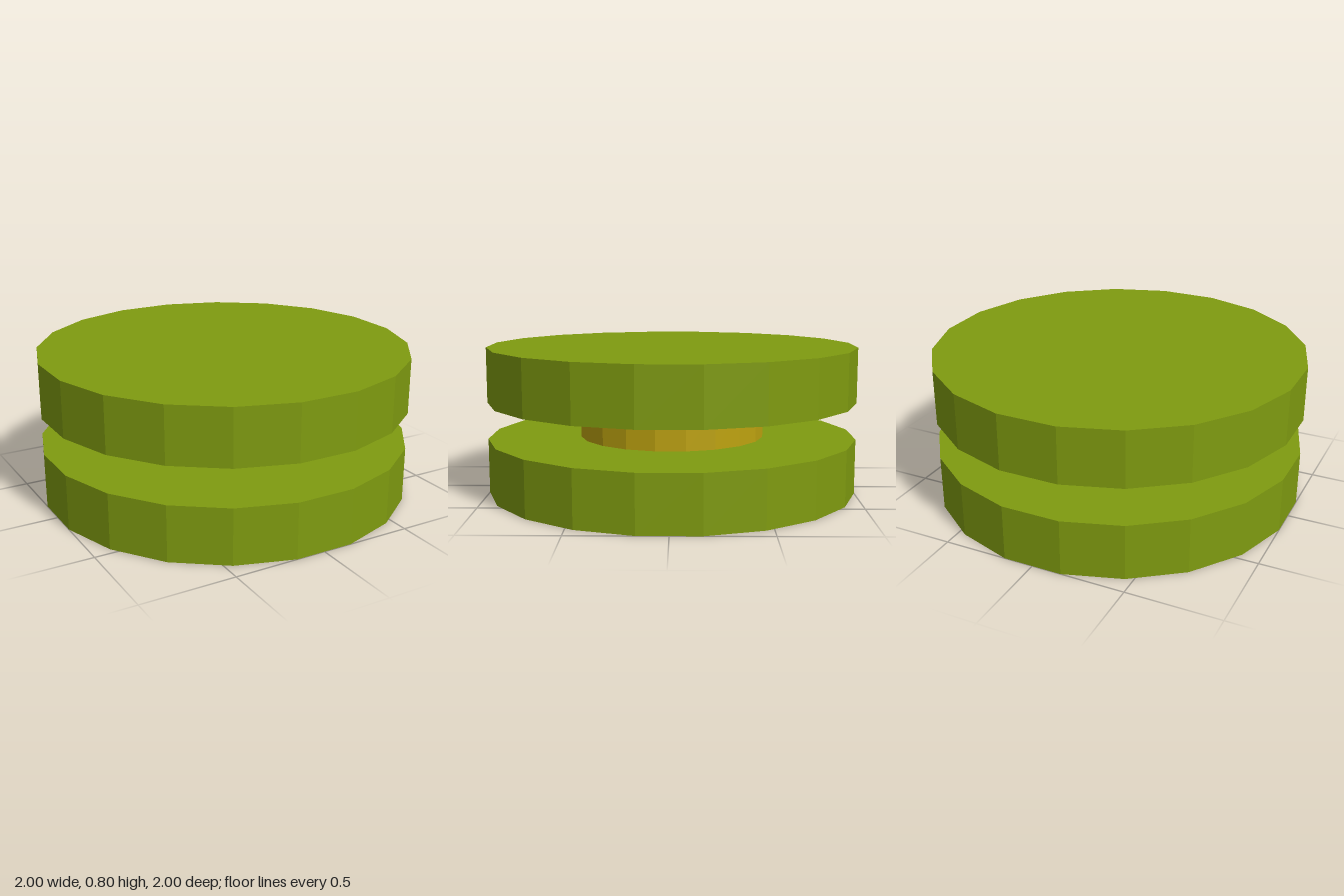
import * as THREE from 'three';

const SIDES = 20;

export function createModel() {
  const model = new THREE.Group();
  model.name = 'spool';

  const green = new THREE.MeshStandardMaterial({ color: 0x7f9b10 });
  green.name = 'olive green';
  const gold = new THREE.MeshStandardMaterial({ color: 0xbea310 });
  gold.name = 'mustard gold';

  // Faceted disc with a flat side facing front; halfWidth is measured across the flats
  function disc(name, halfWidth, bottom, top, material) {
    const radius = halfWidth / Math.cos(Math.PI / SIDES);
    const geometry = new THREE.CylinderGeometry(radius, radius, top - bottom, SIDES)
      .rotateY(Math.PI / SIDES)
      .toNonIndexed();
    geometry.computeVertexNormals(); // one normal per face
    const mesh = new THREE.Mesh(geometry, material);
    mesh.name = name;
    mesh.position.y = (bottom + top) / 2;
    model.add(mesh);
  }

  disc('lowerDisc', 1, 0, 0.3, green);
  disc('axle', 0.5, 0.3, 0.5, gold);
  disc('upperDisc', 1, 0.5, 0.8, green);

  return model;
}
